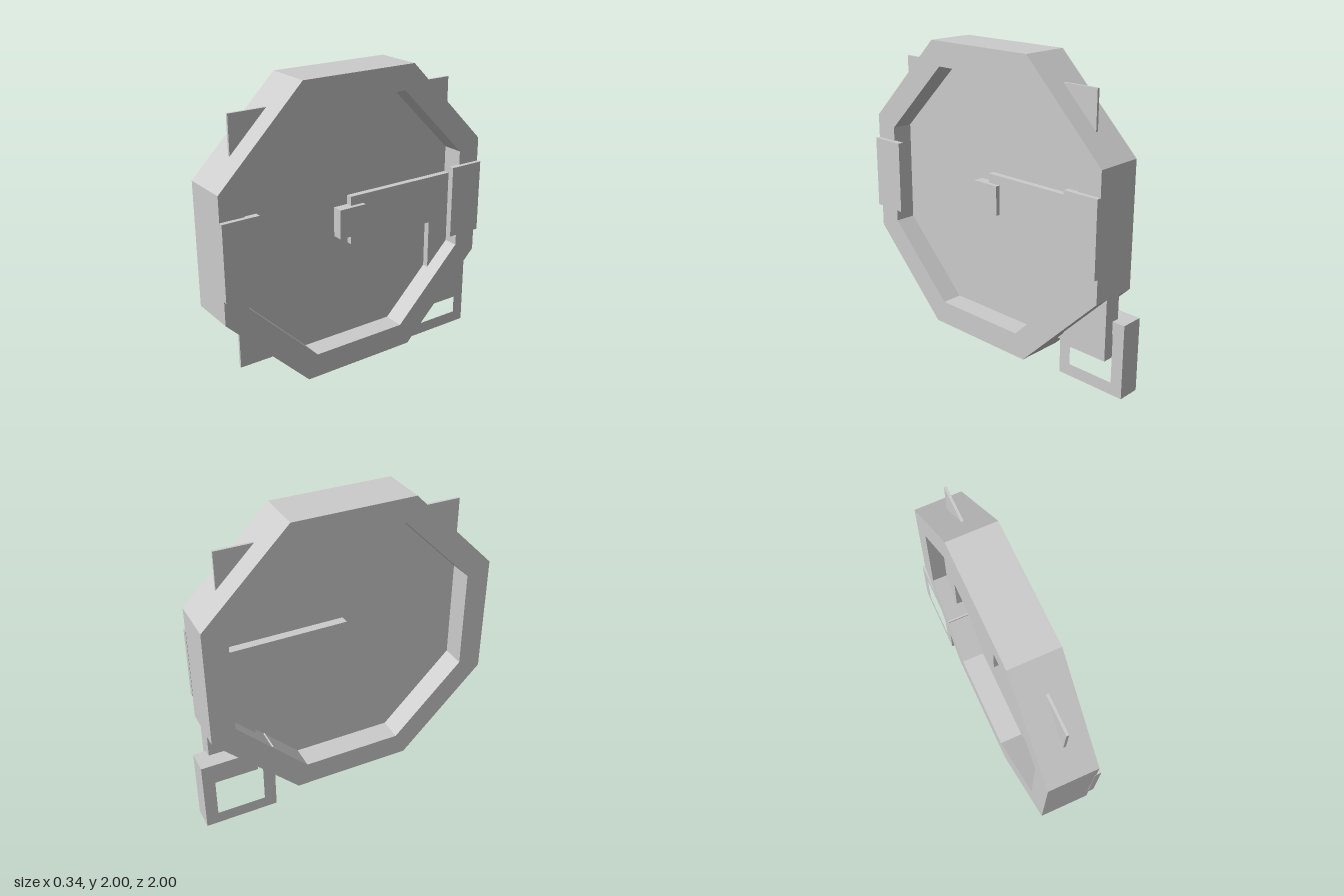
import * as THREE from 'three';

const CY = 1.042, CZ = 0.04; // centre of the octagonal drum

// Polygon path from [z, y] corners, stored as (-z, y) so it can be turned to face +x
function trace(path, pts) {
  pts.forEach(([z, y], i) => (i ? path.lineTo(-z, y) : path.moveTo(-z, y)));
  path.closePath();
  return path;
}

// Slab with a z-y outline, spanning x0 to x1
function slab(name, material, x0, x1, outline, hole) {
  const shape = trace(new THREE.Shape(), outline);
  if (hole) shape.holes.push(trace(new THREE.Path(), hole));
  const geo = new THREE.ExtrudeGeometry(shape, { depth: x1 - x0, bevelEnabled: false });
  geo.rotateY(Math.PI / 2);
  geo.translate(x0, 0, 0);
  const mesh = new THREE.Mesh(geo, material);
  mesh.name = name;
  return mesh;
}

const rect = (z0, z1, y0, y1) => [[z0, y0], [z1, y0], [z1, y1], [z0, y1]];

// Octagon with half-width r and half-length of flat f
const octagon = (r, f) =>
  [[f, r], [r, f], [r, -f], [f, -r], [-f, -r], [-r, -f], [-r, f], [-f, r]]
    .map(([z, y]) => [CZ + z, CY + y]);

export function createModel() {
  const group = new THREE.Group();
  group.name = 'octagonalDrum';
  const grey = new THREE.MeshStandardMaterial({ color: 0xcccccc });
  grey.name = 'lightGrey';

  // Outer ring and the square web whose corners pierce the chamfers
  group.add(slab('octagonRing', grey, -0.175, 0.14, octagon(0.958, 0.398), octagon(0.8, 0.331)));
  group.add(slab('webPlate', grey, -0.018, -0.002, rect(-0.76, 0.84, 0.243, 1.843)));

  // L-shaped arm from the hub out through the ring and down to the bracket
  group.add(slab('bentArm', grey, -0.075, 0.04, [
    [0.04, 1.2], [-0.915, 1.2], [-0.915, 0.245], [-0.6, 0.245], [-0.6, 0.88], [0.04, 0.88],
  ]));
  group.add(slab('hubBlock', grey, -0.01, 0.068, rect(-0.053, 0.14, 0.947, 1.14)));

  // Clips on the front and rear of the ring
  group.add(slab('frontClip', grey, 0.13, 0.17, rect(0.76, 1.0, 0.8, 1.282)));
  group.add(slab('rearClip', grey, 0.13, 0.17, rect(-0.92, -0.68, 0.8, 1.282)));

  // Hollow bracket under the rear corner
  group.add(slab('bracketFrame', grey, -0.175, -0.025,
    rect(-1.0, -0.52, 0, 0.482), rect(-0.92, -0.6, 0.08, 0.4)));

  return group;
}
